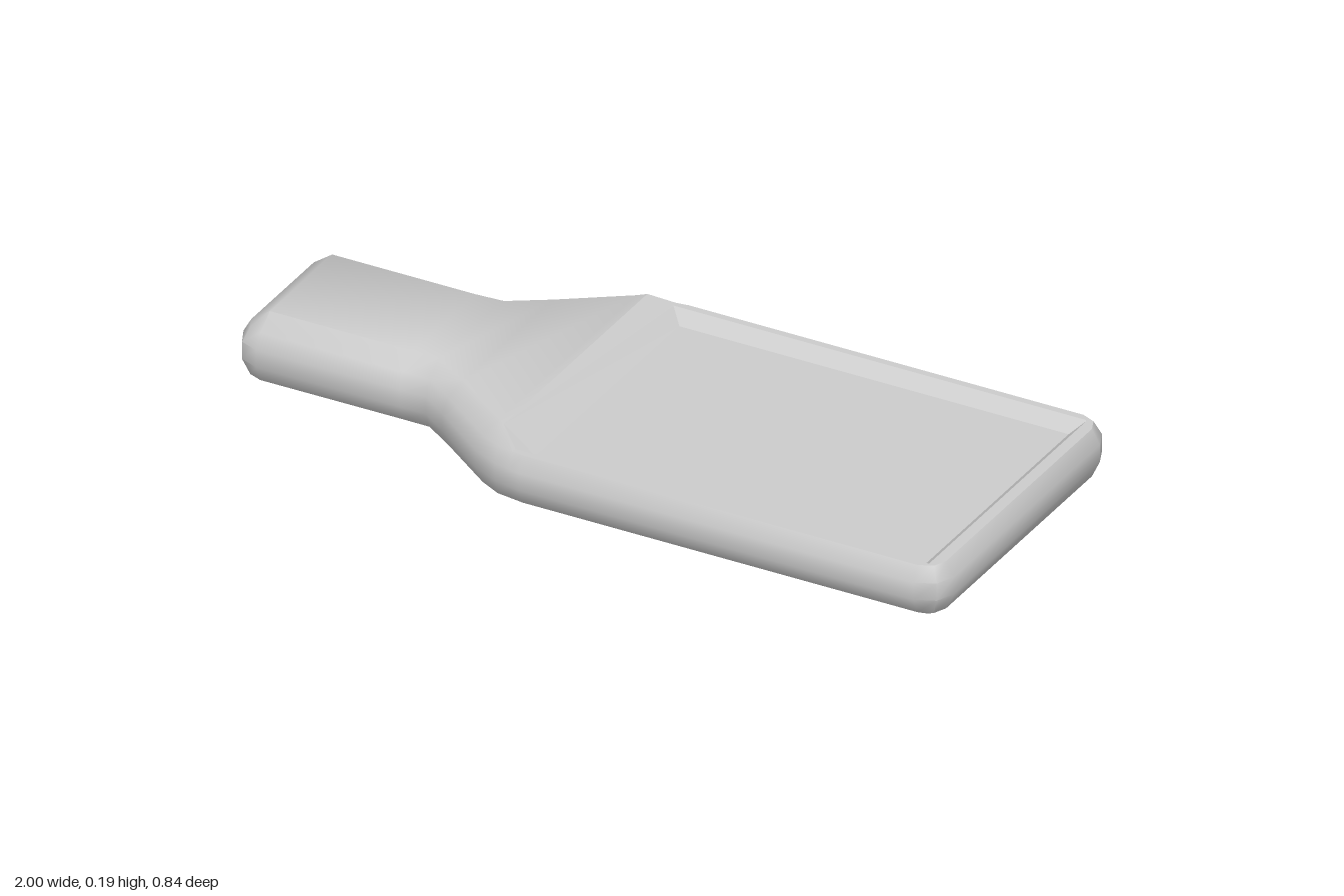
import * as THREE from 'three';
import { toCreasedNormals } from 'three/addons/utils/BufferGeometryUtils.js';

// Half outline stations: [inner x, inner z, outer x, outer z], from handle end to tray end
const handleEnd = [
  [-0.93, 0.15, -1, 0.15], [-0.93, 0.15, -0.978, 0.197], [-0.93, 0.15, -0.93, 0.216],
];
const crispNeck = [
  [-0.55, 0.15, -0.55, 0.214], [-0.48, 0.152, -0.48, 0.214], [-0.38, 0.215, -0.41, 0.262],
];
const softNeck = [
  [-0.55, 0.15, -0.55, 0.218], [-0.48, 0.152, -0.48, 0.233], [-0.38, 0.215, -0.41, 0.265],
];
const tray = [
  [-0.22, 0.327, -0.26, 0.373], [-0.2, 0.345, -0.19, 0.406], [-0.153, 0.347, -0.149, 0.414],
  [-0.12, 0.35, -0.12, 0.419], [0.93, 0.35, 0.93, 0.419], [0.93, 0.35, 0.98, 0.397], [0.93, 0.35, 1, 0.35],
];
const front = [...handleEnd, ...crispNeck, ...tray];
const back = [...handleEnd, ...softNeck, ...tray];
const LIP = 7;                 // station where the raised top ends
const LAST = front.length - 1;

// Section rings: [height, blend from inner to outer outline]
const rings = [[0, 0], [0.028, 0.7], [0.072, 1], [0.118, 1], [0.155, 0.7], [0.19, 0]];
const RIM = 4, TOP = 5;
const FLOOR = 0.127;

const point = (side, i, j) => {
  const [ix, iz, ox, oz] = (side > 0 ? front : back)[i];
  const [y, t] = rings[j];
  return new THREE.Vector3(ix + (ox - ix) * t, y, side * (iz + (oz - iz) * t));
};

// Collects convex polygons as triangles, dropping empty ones
function makeSurface() {
  const data = [];
  const tri = new THREE.Triangle();
  return {
    add(points, flip = false) {
      const p = flip ? [...points].reverse() : points;
      for (let i = 1; i < p.length - 1; i++) {
        tri.set(p[0], p[i], p[i + 1]);
        if (tri.getArea() > 1e-8) for (const v of [p[0], p[i], p[i + 1]]) data.push(v.x, v.y, v.z);
      }
    },
    geometry() {
      const g = new THREE.BufferGeometry();
      g.setAttribute('position', new THREE.Float32BufferAttribute(data, 3));
      g.computeVertexNormals();
      return g;
    },
  };
}

// Rounded outer shell: sides, ends, underside and the raised top of the handle
function shellGeometry() {
  const s = makeSurface();
  for (const side of [1, -1]) {
    for (let j = 0; j < TOP; j++) {
      const end = j < RIM ? LAST : LIP;
      for (let i = 0; i < end; i++) {
        s.add([point(side, i, j), point(side, i + 1, j), point(side, i + 1, j + 1), point(side, i, j + 1)], side < 0);
      }
    }
    s.add([point(side, LIP, RIM), point(side, LIP + 1, RIM), point(side, LIP, TOP)], side < 0);
  }
  for (let j = 0; j < TOP; j++) {
    s.add([point(-1, 0, j), point(1, 0, j), point(1, 0, j + 1), point(-1, 0, j + 1)]);
    if (j < RIM) s.add([point(1, LAST, j), point(-1, LAST, j), point(-1, LAST, j + 1), point(1, LAST, j + 1)]);
  }
  for (let i = 0; i < LAST; i++) {
    const strip = (j) => [point(1, i, j), point(1, i + 1, j), point(-1, i + 1, j), point(-1, i, j)];
    s.add(strip(0), true);
    if (i < LIP) s.add(strip(TOP));
  }
  return toCreasedNormals(s.geometry(), 0.8);
}

const v = (x, y, z) => new THREE.Vector3(x, y, z);
const rimIn = (x, side) => v(x, rings[RIM][0], side * 0.38);
const floorAt = (x, side) => v(x, FLOOR, side * 0.345);

// Narrow flat rim around the tray
function rimGeometry() {
  const s = makeSurface();
  const inner = (i, side) => rimIn(THREE.MathUtils.clamp(point(side, i, RIM).x, -0.15, 0.95), side);
  for (const side of [1, -1]) {
    for (let i = LIP + 1; i < LAST; i++) {
      s.add([point(side, i, RIM), point(side, i + 1, RIM), inner(i + 1, side), inner(i, side)], side < 0);
    }
  }
  s.add([point(1, LAST, RIM), point(-1, LAST, RIM), rimIn(0.95, -1), rimIn(0.95, 1)]);
  return s.geometry();
}

// Sloping walls and the ramp below the raised handle top
function wallGeometry() {
  const s = makeSurface();
  for (const side of [1, -1]) {
    s.add([rimIn(-0.15, side), rimIn(0.95, side), floorAt(0.92, side), floorAt(-0.115, side)], side < 0);
  }
  s.add([rimIn(0.95, 1), rimIn(0.95, -1), floorAt(0.92, -1), floorAt(0.92, 1)]);
  const edge = (side) => [point(side, LIP, TOP), point(side, LIP + 1, RIM), rimIn(-0.15, side), floorAt(-0.115, side)];
  s.add([...edge(1), ...edge(-1).reverse()]);
  return s.geometry();
}

function floorGeometry() {
  const s = makeSurface();
  s.add([floorAt(-0.115, 1), floorAt(0.92, 1), floorAt(0.92, -1), floorAt(-0.115, -1)]);
  return s.geometry();
}

export function createModel() {
  const group = new THREE.Group();
  const smooth = new THREE.MeshStandardMaterial({ color: 0xcccccc });
  const flat = new THREE.MeshStandardMaterial({ color: 0xcccccc, flatShading: true });
  const add = (name, geometry, material) => {
    const mesh = new THREE.Mesh(geometry, material);
    mesh.name = name;
    group.add(mesh);
  };
  add('bodyAndHandle', shellGeometry(), smooth);
  add('trayRim', rimGeometry(), flat);
  add('trayWalls', wallGeometry(), flat);
  add('trayFloor', floorGeometry(), flat);
  return group;
}
